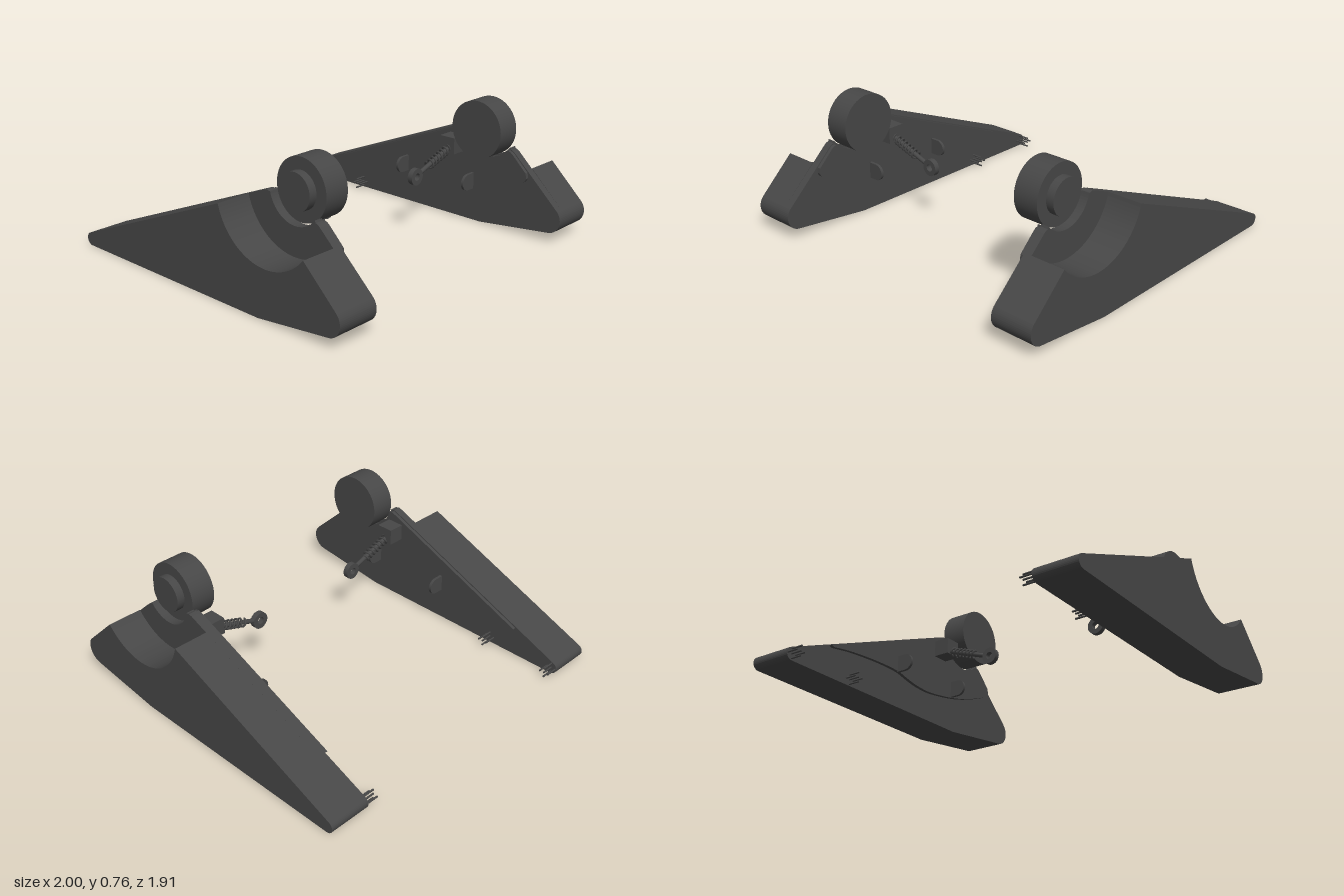
import * as THREE from 'three';

// Side profiles are drawn with X = -z and Y = y, then extruded along x.
const WHEEL = { z: 0.475, y: 0.597 };

function arc(cx, cy, r, a0, a1, n = 20) {
  const pts = [];
  for (let i = 0; i <= n; i++) {
    const a = THREE.MathUtils.degToRad(a0 + ((a1 - a0) * i) / n);
    pts.push([cx + r * Math.cos(a), cy + r * Math.sin(a)]);
  }
  return pts;
}

function slab(pts, x0, x1) {
  const shape = new THREE.Shape(pts.map(([x, y]) => new THREE.Vector2(x, y)));
  const geo = new THREE.ExtrudeGeometry(shape, { depth: x1 - x0, bevelEnabled: false });
  return geo.rotateY(Math.PI / 2).translate(x0, 0, 0);
}

// Cylinder lying along x between x0 and x1
function rod(r, x0, x1, y, z, sides = 48) {
  return new THREE.CylinderGeometry(r, r, x1 - x0, sides)
    .rotateZ(Math.PI / 2).translate((x0 + x1) / 2, y, z);
}

// Mirror across x = 0 and restore the winding
function mirrored(geo) {
  const g = geo.index ? geo.toNonIndexed() : geo.clone();
  g.scale(-1, 1, 1);
  for (const name of ['position', 'normal', 'uv']) {
    const a = g.attributes[name];
    if (!a) continue;
    const n = a.itemSize;
    for (let i = 0; i < a.count; i += 3) {
      for (let k = 0; k < n; k++) {
        const p = (i + 1) * n + k, q = (i + 2) * n + k;
        [a.array[p], a.array[q]] = [a.array[q], a.array[p]];
      }
    }
  }
  return g;
}

function sideParts() {
  const parts = [];
  const add = (name, geo) => parts.push([name, geo]);

  // Wedge body: thick outer slab with a round recess, thin inner wall with a smaller notch
  const nose = arc(-0.875, 0.135, 0.08, 263, 132);
  const tail = arc(0.915, 0.037, 0.037, 67.7, -90, 14);
  const notch = (r) => [
    [-0.64, 0.463], [-0.625, 0.475], [-0.612, 0.478],
    ...arc(-WHEEL.z, WHEEL.y, r, 219, 348, 28),
    [-0.298, 0.562], [-0.285, 0.566], [-0.265, 0.56],
  ];
  const recess = arc(-WHEEL.z, WHEEL.y, 0.33, 220, 345.6, 36);
  add('outerBody', slab([...nose, ...recess, ...tail, [-0.42, 0]], 0.8, 1));
  add('innerWall', slab([...nose, ...notch(0.17), ...tail, [-0.42, 0]], 0.755, 0.8));

  // Raised cover on the inner face, with a wavy lower edge
  const wave = new THREE.SplineCurve([
    [0.64, 0.168], [0.5, 0.19], [0.3, 0.205], [0.13, 0.205], [0.03, 0.185], [-0.06, 0.17],
    [-0.2, 0.17], [-0.45, 0.215], [-0.69, 0.3], [-0.735, 0.34],
  ].map(([x, y]) => new THREE.Vector2(x, y))).getPoints(50).map((p) => [p.x, p.y]);
  const coverTop = notch(0.172).map(([x, y]) => [x, y - 0.006]);
  add('innerCover', slab([[-0.73, 0.37], ...coverTop, [0.655, 0.176], ...wave], 0.735, 0.755));

  // Wheel and hub
  add('wheel', rod(0.165, 0.61, 0.755, WHEEL.y, WHEEL.z, 64));
  add('hub', rod(0.1, 0.755, 0.8, WHEEL.y, WHEEL.z));

  // Round-ended tabs
  for (const z of [-0.115, 0.37]) {
    const tab = new THREE.Shape();
    tab.moveTo(0.74, 0.2);
    tab.lineTo(0.74, 0.295);
    tab.lineTo(0.685, 0.295);
    tab.absarc(0.685, 0.2475, 0.0475, Math.PI / 2, Math.PI * 1.5, false);
    add('tab', new THREE.ExtrudeGeometry(tab, { depth: 0.016, bevelEnabled: false })
      .translate(0, 0, z - 0.008));
  }

  // Pin clusters
  for (const z of [-0.918, -0.485]) {
    for (const [dy, dz] of [[0, 0], [0.027, 0], [-0.027, 0], [0, 0.027], [0, -0.027]]) {
      add('pin', rod(0.005, 0.685, 0.76, 0.038 + dy, z + dz, 10));
    }
  }

  // Sprung arm: mount block, rod, coil spring and ring
  add('armMount', new THREE.BoxGeometry(0.1, 0.095, 0.1).translate(0.69, 0.4575, 0.253));
  const start = new THREE.Vector3(0.66, 0.437, 0.253);
  const end = new THREE.Vector3(0.395, 0.346, 0.253);
  const dir = end.clone().sub(start);
  const turn = new THREE.Quaternion().setFromUnitVectors(
    new THREE.Vector3(0, 1, 0), dir.clone().normalize());
  const place = (geo) => geo.applyQuaternion(turn).translate(start.x, start.y, start.z);
  const length = dir.length();
  add('armRod', place(new THREE.CylinderGeometry(0.013, 0.013, length, 16)
    .translate(0, length / 2, 0)));
  const coil = [];
  for (let i = 0; i <= 112; i++) {
    const a = (i / 16) * Math.PI * 2;
    coil.push(new THREE.Vector3(0.023 * Math.cos(a), 0.01 + (i / 112) * 0.19, 0.023 * Math.sin(a)));
  }
  add('spring', place(new THREE.TubeGeometry(new THREE.CatmullRomCurve3(coil), 168, 0.006, 6)));
  const ring = new THREE.Shape().absarc(0, 0, 0.048, 0, Math.PI * 2, false);
  ring.holes.push(new THREE.Path().absarc(0, 0, 0.021, 0, Math.PI * 2, true));
  add('ring', new THREE.ExtrudeGeometry(ring, { depth: 0.03, bevelEnabled: false, curveSegments: 24 })
    .translate(0.36, 0.335, 0.238));
  return parts;
}

export function createModel() {
  const darkGrey = new THREE.MeshStandardMaterial({ color: 0x474747 });
  darkGrey.name = 'darkGrey';
  const model = new THREE.Group();
  model.name = 'sidePods';
  const left = new THREE.Group(), right = new THREE.Group();
  left.name = 'leftPod';
  right.name = 'rightPod';
  for (const [name, geo] of sideParts()) {
    for (const [group, g] of [[left, geo], [right, mirrored(geo)]]) {
      const mesh = new THREE.Mesh(g, darkGrey);
      mesh.name = name;
      group.add(mesh);
    }
  }
  model.add(left, right);
  return model;
}
